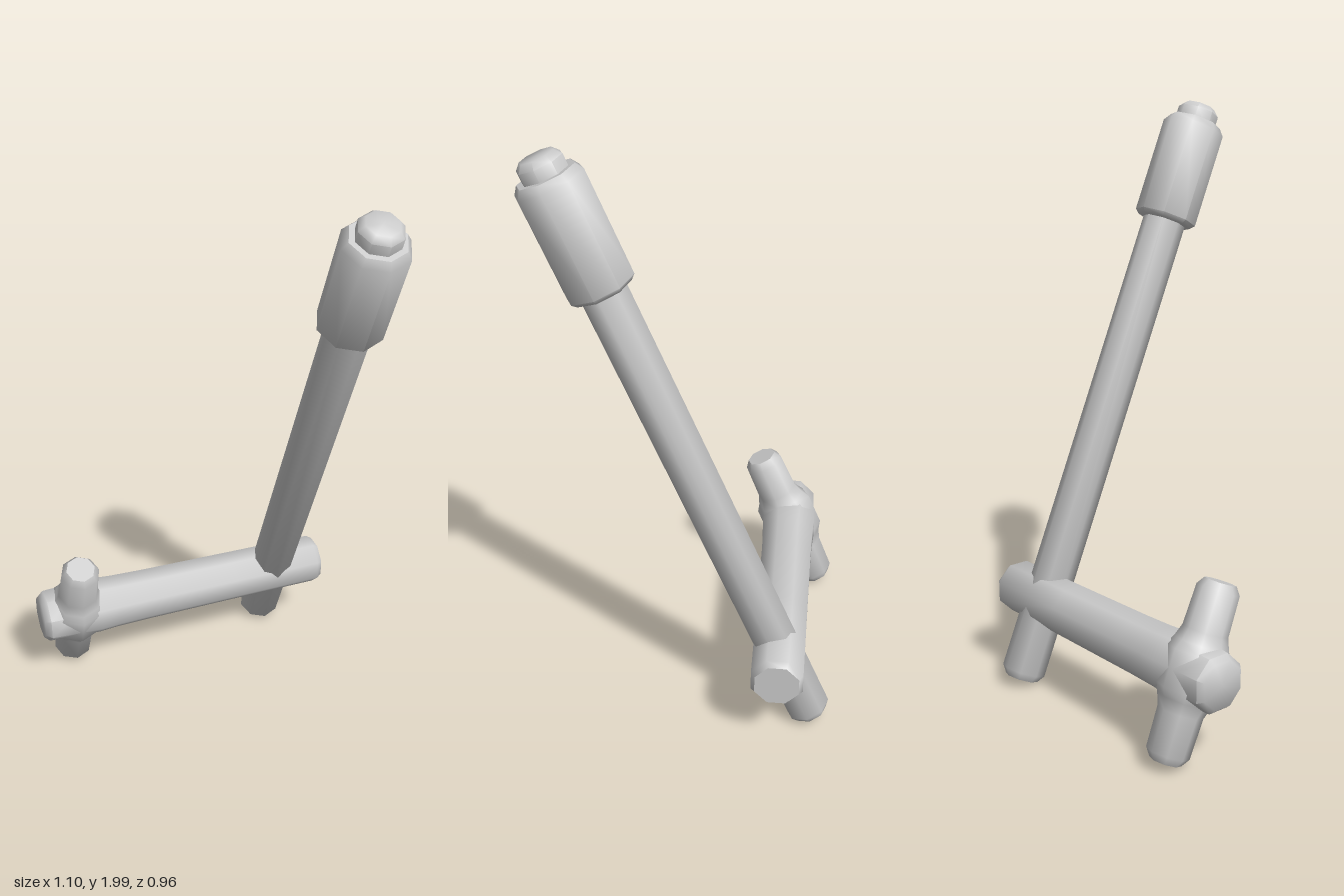
import * as THREE from 'three';
import { toCreasedNormals } from 'three/addons/utils/BufferGeometryUtils.js';

const material = new THREE.MeshStandardMaterial({ color: 0xcccccc });

// Eight-sided turned part; profile is [radius, height] from bottom to top
function turned(name, profile, turn = 0) {
  const points = profile.map(([r, h]) => new THREE.Vector2(r, h));
  const geometry = new THREE.LatheGeometry(points, 8).rotateY(turn);
  const mesh = new THREE.Mesh(toCreasedNormals(geometry, 0.95), material);
  mesh.name = name;
  return mesh;
}

export function createModel() {
  const model = new THREE.Group();
  model.name = 'lever';
  const tilt = 0.405;
  const axisY = 0.297, axisZ = -0.312;

  // Horizontal shaft, slightly thicker where the cross peg joins it
  const shaft = turned('shaft', [
    [0, -0.55], [0.08, -0.55], [0.097, -0.53], [0.1, -0.45], [0.105, -0.34],
    [0.1, -0.27], [0.097, -0.15], [0.094, 0.2], [0.092, 0.53], [0.078, 0.55], [0, 0.55],
  ], Math.PI / 8);
  shaft.rotation.z = -Math.PI / 2;
  shaft.position.set(0, axisY, axisZ);
  model.add(shaft);

  // Cross peg with flared root
  const peg = turned('crossPeg', [
    [0, -0.288], [0.052, -0.288], [0.07, -0.262], [0.074, -0.13], [0.088, -0.09],
    [0.105, -0.06], [0.105, 0.06], [0.088, 0.09], [0.074, 0.13], [0.07, 0.262],
    [0.052, 0.288], [0, 0.288],
  ]);
  peg.rotation.x = tilt;
  peg.position.set(-0.415, axisY, axisZ);
  model.add(peg);

  // Tilted arm: rod, grip sleeve and end knob on one axis
  const arm = new THREE.Group();
  arm.name = 'arm';
  arm.add(
    turned('rod', [[0, -0.288], [0.058, -0.288], [0.076, -0.262], [0.076, 1.45], [0, 1.45]]),
    turned('grip', [
      [0, 1.4], [0.095, 1.4], [0.11, 1.415], [0.11, 1.75], [0.092, 1.775], [0, 1.775],
    ]),
    turned('knob', [[0, 1.75], [0.073, 1.75], [0.073, 1.812], [0.054, 1.832], [0, 1.832]]),
  );
  arm.rotation.x = tilt;
  arm.position.set(0.363, axisY, axisZ);
  model.add(arm);

  return model;
}
